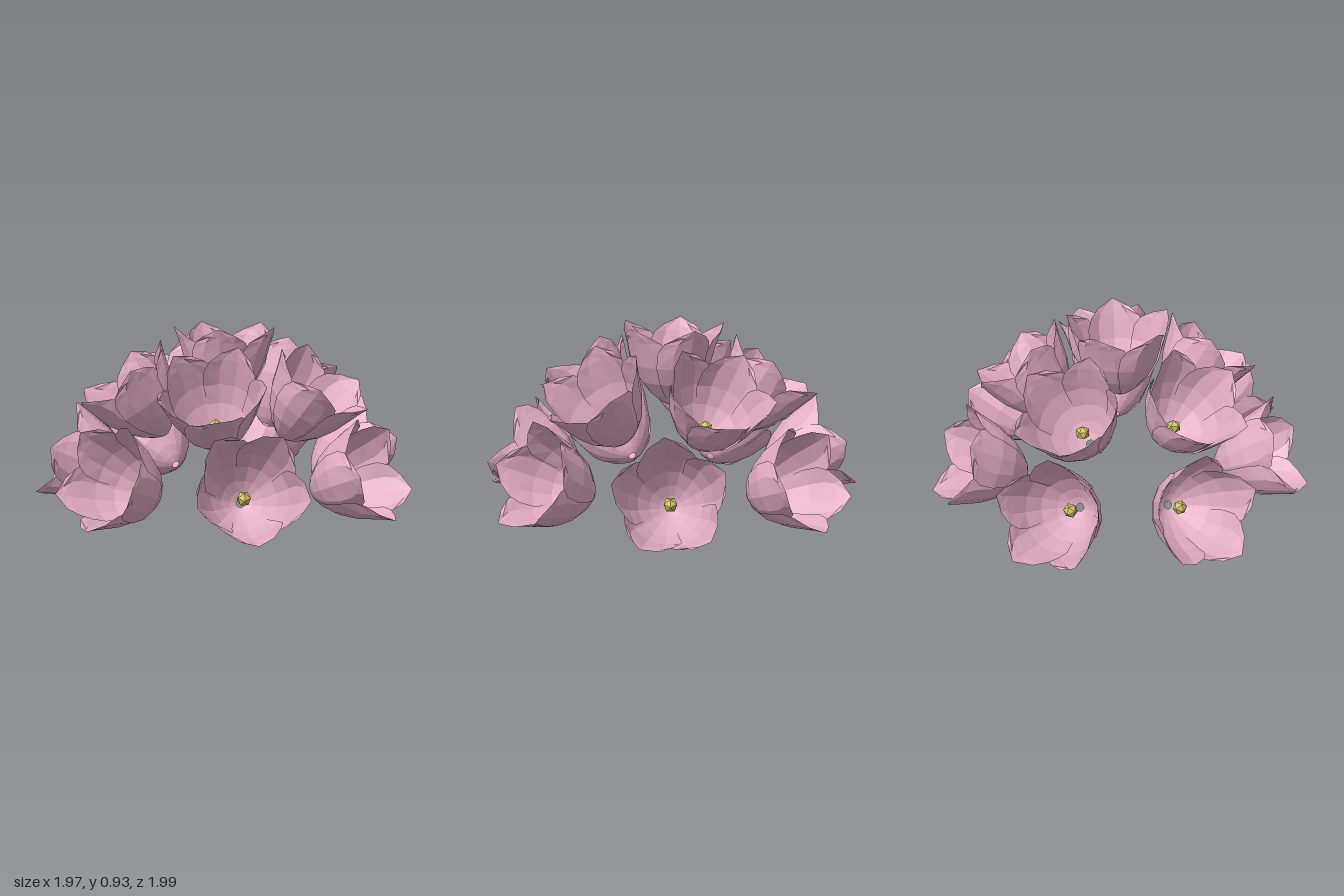
import * as THREE from 'three';

const rad = THREE.MathUtils.degToRad;

// Petal rows from base to tip: height, radius from the flower axis, half width in degrees, flatness
const ROWS = [
  [0, 0.02, 38, 0], [0.02, 0.055, 40, 0], [0.06, 0.102, 43, 0], [0.13, 0.16, 45, 0],
  [0.22, 0.206, 46, 0.02], [0.3, 0.232, 43, 0.07], [0.35, 0.248, 34, 0.08],
  [0.385, 0.26, 19, 0.03], [0.422, 0.275, 0, 0],
];
const COLUMNS = 4;

// One curved petal; it leans so that one edge tucks under its neighbour
function petalGeometry() {
  const positions = [], index = [];
  ROWS.forEach(([h, r, width, flatness], i) => {
    for (let j = 0; j <= COLUMNS; j++) {
      const s = (j / COLUMNS) * 2 - 1;
      const a = rad(width) * s;
      const lean = 0.03 * s * (width / 45);
      const radius = r * (1 + lean - flatness * s * s);
      positions.push(radius * Math.cos(a), h, radius * Math.sin(a));
      if (i === 0 || j === 0) continue;
      const d = i * (COLUMNS + 1) + j, c = d - 1;
      const b = d - COLUMNS - 1, p = b - 1;
      index.push(p, c, b);
      if (i < ROWS.length - 1) index.push(b, c, d);
    }
  });
  const geometry = new THREE.BufferGeometry();
  geometry.setAttribute('position', new THREE.Float32BufferAttribute(positions, 3));
  geometry.setIndex(index);
  const flat = geometry.toNonIndexed();
  flat.computeVertexNormals();
  return flat;
}

// Rings of flowers: base radius, base height, tilt from vertical, then [azimuth, roll] of each flower
const RINGS = [
  { name: 'topFlower', r: 0, y: 0.498, tilt: 0, flowers: [[0, 0]] },
  {
    name: 'middleFlower', r: 0.32, y: 0.354, tilt: 36,
    flowers: [[0, 11], [72, 2], [144, -12], [-144, -28], [-72, 40]],
  },
  {
    name: 'lowerFlower', r: 0.512, y: 0.092, tilt: 66,
    flowers: [[25.7, 30], [77.1, 18], [128.6, -2], [180, -11], [-128.6, -28], [-77.1, 29], [-25.7, 16]],
  },
];

export function createModel() {
  const model = new THREE.Group();
  model.name = 'flowerDome';

  const pink = new THREE.MeshStandardMaterial({ color: 0xe2acc2, flatShading: true, side: THREE.DoubleSide });
  pink.name = 'petalPink';
  const yellow = new THREE.MeshStandardMaterial({ color: 0xcdc062, flatShading: true });
  yellow.name = 'pollenYellow';

  const petalShape = petalGeometry();
  const heartShape = new THREE.IcosahedronGeometry(0.037, 0);

  // Five petals around a small yellow heart, opening along +y
  function makeFlower(name, roll) {
    const flower = new THREE.Group();
    flower.name = name;
    for (let i = 0; i < 5; i++) {
      const petal = new THREE.Mesh(petalShape, pink);
      petal.name = 'petal';
      petal.rotation.y = -rad(roll + i * 72);
      flower.add(petal);
    }
    const heart = new THREE.Mesh(heartShape, yellow);
    heart.name = 'flowerHeart';
    heart.position.y = 0.122;
    flower.add(heart);
    return flower;
  }

  // Each flower is tilted outward, then swung round the dome
  for (const ring of RINGS) {
    for (const [azimuth, roll] of ring.flowers) {
      const arm = new THREE.Group();
      arm.name = ring.name + 'Arm';
      arm.position.x = 0.02;
      arm.rotation.y = -rad(azimuth);
      const flower = makeFlower(ring.name, roll);
      flower.position.set(ring.r, ring.y, 0);
      flower.rotation.z = -rad(ring.tilt);
      arm.add(flower);
      model.add(arm);
    }
  }
  return model;
}
